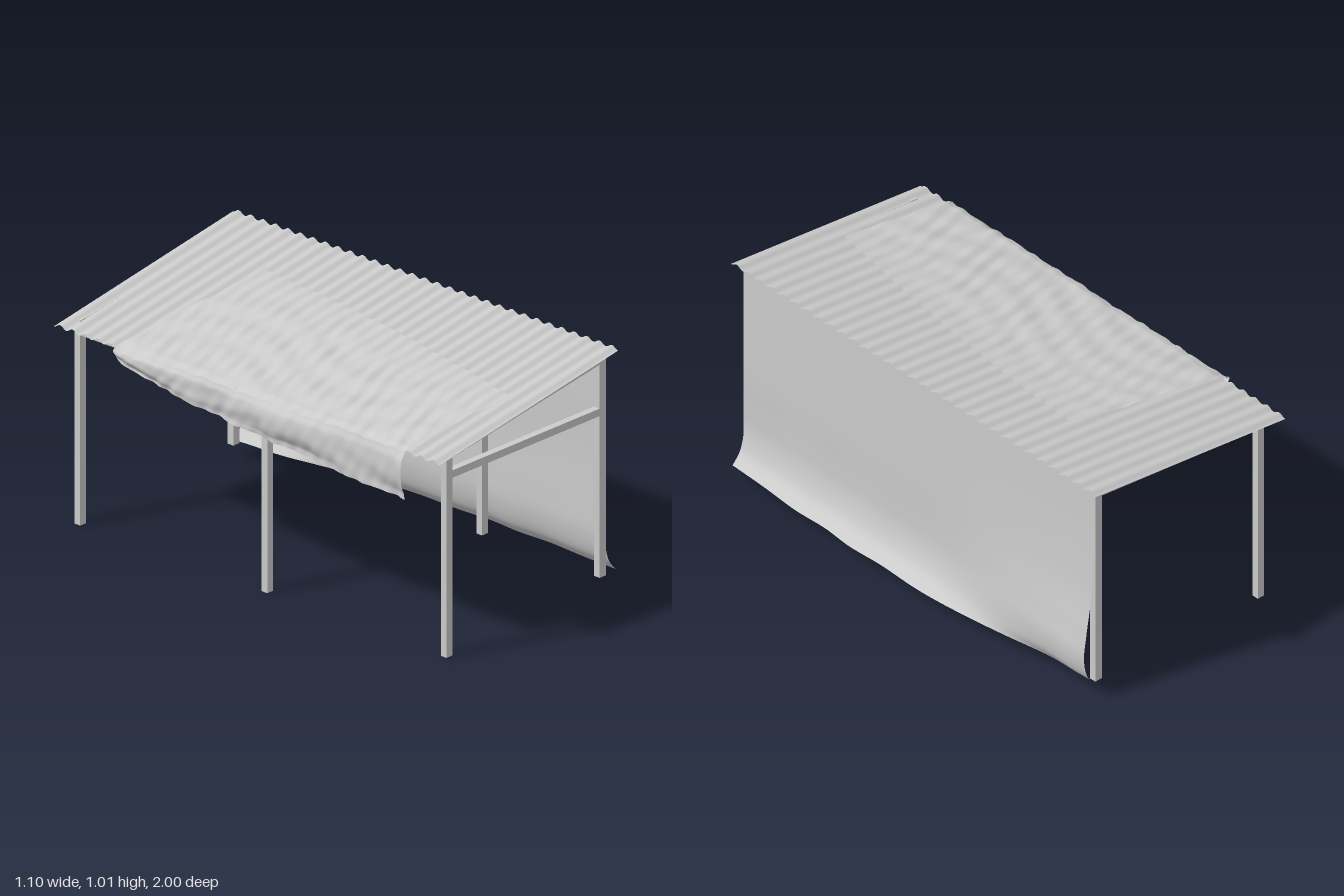
import * as THREE from 'three';

const mat = new THREE.MeshStandardMaterial({ color: 0xcccccc });
const sheetMat = new THREE.MeshStandardMaterial({ color: 0xcccccc, side: THREE.DoubleSide });
const roofY = (x) => 0.835 + 0.165 * (x + 0.51);
const corrugation = (z) => 0.007 * Math.cos(z * Math.PI * 31);
const { lerp, smoothstep } = THREE.MathUtils;

// Timber with an outline in the xy plane, centred on z
function timber(name, outline, z, depth = 0.03) {
  const shape = new THREE.Shape(outline.map(([x, y]) => new THREE.Vector2(x, y)));
  const geo = new THREE.ExtrudeGeometry(shape, { depth, bevelEnabled: false });
  geo.translate(0, 0, z - depth / 2);
  const mesh = new THREE.Mesh(geo, mat);
  mesh.name = name;
  return mesh;
}

// Thin sheet: place(u, v, target) gives each vertex from 0..1 coordinates
function sheet(name, nu, nv, place) {
  const geo = new THREE.PlaneGeometry(1, 1, nu, nv);
  const pos = geo.attributes.position;
  const p = new THREE.Vector3();
  for (let i = 0; i < pos.count; i++) {
    place(pos.getX(i) + 0.5, 0.5 - pos.getY(i), p);
    pos.setXYZ(i, p.x, p.y, p.z);
  }
  geo.computeVertexNormals();
  const mesh = new THREE.Mesh(geo, sheetMat);
  mesh.name = name;
  return mesh;
}

const spline = (pts) => new THREE.SplineCurve(pts.map(([x, y]) => new THREE.Vector2(x, y)));

export function createModel() {
  const model = new THREE.Group();

  // Posts, tops cut to the roof slope
  for (const z of [-0.95, 0.02, 0.95])
    model.add(timber('lowPost', [[-0.432, 0], [-0.4, 0], [-0.4, 0.85], [-0.432, 0.845]], z));
  for (const z of [-0.95, 0.34, 0.95])
    model.add(timber('highPost', [[0.424, 0.065], [0.458, 0.065], [0.458, 0.982], [0.424, 0.976]], z));

  // Sloping rafters
  for (let i = 0; i < 6; i++)
    model.add(timber('rafter', [[-0.43, 0.812], [0.458, 0.95], [0.458, 0.983], [-0.43, 0.843]], -0.95 + i * 0.38));

  // Long beams under the rafters and the front tie beam
  model.add(timber('lowBeam', [[-0.431, 0.785], [-0.401, 0.785], [-0.401, 0.817], [-0.431, 0.812]], 0, 1.9));
  model.add(timber('highBeam', [[0.426, 0.91], [0.457, 0.91], [0.457, 0.948], [0.426, 0.944]], 0, 1.9));
  model.add(timber('tieBeam', [[-0.4, 0.733], [0.424, 0.733], [0.424, 0.764], [-0.4, 0.764]], 0.95));

  // Corrugated roof
  model.add(sheet('corrugatedRoof', 4, 31 * 10, (u, v, p) => {
    const x = lerp(-0.51, 0.49, u), z = lerp(-1, 1, v);
    p.set(x, roofY(x) + corrugation(z), z);
  }));

  // Side curtain: bulges and curls under at the back, flares out at the front
  const back = spline([[0.463, 0.98], [0.468, 0.75], [0.482, 0.5], [0.508, 0.32], [0.521, 0.21], [0.505, 0.12], [0.462, 0.067]]);
  const front = spline([[0.463, 0.98], [0.465, 0.75], [0.468, 0.5], [0.465, 0.32], [0.467, 0.21], [0.488, 0.12], [0.53, 0.067]]);
  const a = new THREE.Vector2(), b = new THREE.Vector2();
  model.add(sheet('sideCurtain', 90, 60, (u, v, p) => {
    back.getPoint(v, a);
    front.getPoint(v, b);
    a.lerp(b, smoothstep(u, 0.02, 0.5));
    const hump = 0.022 * Math.sin(Math.PI * u) * v ** 4;
    const ripple = 0.004 * Math.sin(u * 23 + Math.sin(u * 9) * 2) * v * v;
    p.set(a.x + hump + ripple, a.y, lerp(-0.968, 0.953, u));
  }));

  // Crumpled cover lying on the roof, folded over the low eave
  const wrinkle = (s, z) => 0.0028 * Math.sin(z * 62 + 3 * Math.sin(s * 7 + z * 4))
    + 0.0025 * Math.sin(s * 38 + 4 * Math.sin(z * 5)) + 0.0015 * Math.sin(z * 95 + s * 30);
  const fold = 0.7; // share of the sheet that lies on the roof
  model.add(sheet('roofCover', 110, 180, (u, v, p) => {
    const w = 1 - u;
    const topX = lerp(0.21, 0, v) + 0.03 * Math.sin(Math.PI * v);
    const edgeX = -0.515;
    const on = Math.min(w / fold, 1), down = Math.max((w - fold) / (1 - fold), 0);
    const z = lerp(lerp(-0.58, -0.67, on), lerp(0.89, 0.83, on), v);
    const crumple = smoothstep(on, 0, 0.5);
    if (down === 0) {
      const x = lerp(topX, edgeX, on);
      const settle = 0.7 * corrugation(z) * (1 - 0.7 * crumple);
      const lift = 0.011 + 0.004 * crumple + wrinkle(x, z) * (0.2 + 0.8 * crumple);
      p.set(x, roofY(x) + settle + lift - 0.008 * smoothstep(on, 0.95, 1), z);
    } else {
      const drop = lerp(0.035, 0.2, Math.sqrt(v)) * down;
      const sway = 0.03 * Math.sin(Math.PI * Math.min(down * 1.15, 1)) * (0.6 + 0.4 * Math.sin(z * 8));
      const waves = 0.007 * down * Math.sin(z * 21 + 2 * Math.sin(z * 6));
      p.set(edgeX - 0.008 * smoothstep(down, 0, 0.2) - sway * (0.4 + 0.6 * v) + waves + wrinkle(down * 0.3, z) * down,
        roofY(edgeX) + 0.007 + wrinkle(edgeX, z) * (1 - down) - drop, z);
    }
  }));

  return model;
}
